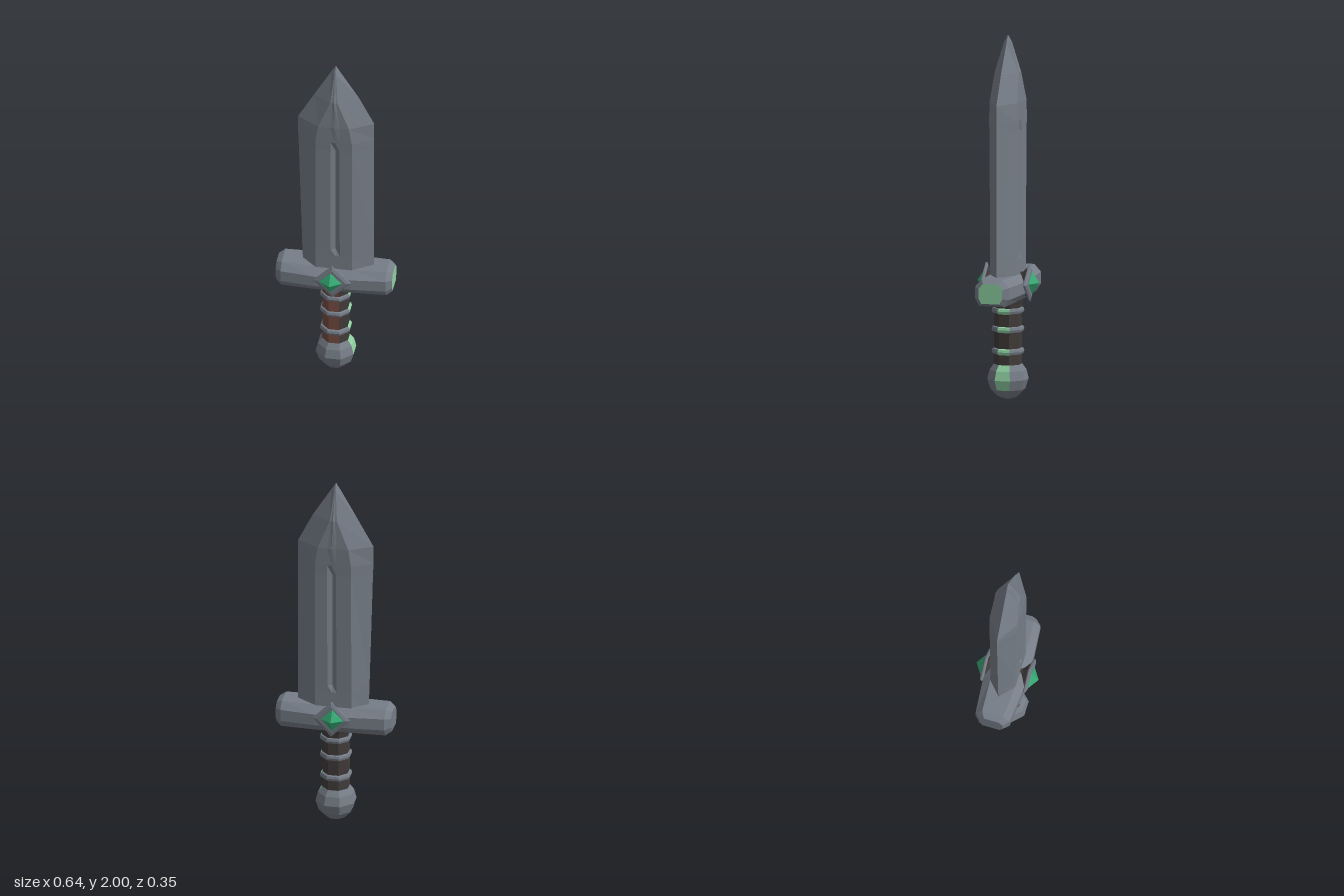
import * as THREE from 'three';

const mat = (name, color) => {
  const m = new THREE.MeshStandardMaterial({ color, flatShading: true });
  m.name = name;
  return m;
};

// Skin a list of equal-length 3D loops; group 1 is the closing face of the last loop.
function loft(loops) {
  const n = loops[0].length, pos = loops.flat(2), sides = [], end = [];
  const last = (loops.length - 1) * n;
  for (let i = 1; i < n - 1; i++) {
    sides.push(0, i + 1, i);
    end.push(last, last + i, last + i + 1);
  }
  for (let r = 0; r < loops.length - 1; r++) {
    for (let i = 0; i < n; i++) {
      const a = r * n + i, b = r * n + (i + 1) % n;
      sides.push(a, b, b + n, a, b + n, a + n);
    }
  }
  const index = [...sides, ...end];
  // Turn the faces outward if the enclosed volume is negative
  const v = i => new THREE.Vector3(...pos.slice(i * 3, i * 3 + 3));
  let volume = 0;
  for (let i = 0; i < index.length; i += 3) {
    volume += v(index[i]).dot(v(index[i + 1]).cross(v(index[i + 2])));
  }
  if (volume < 0) {
    for (let i = 0; i < index.length; i += 3) [index[i], index[i + 1]] = [index[i + 1], index[i]];
  }
  let g = new THREE.BufferGeometry();
  g.setAttribute('position', new THREE.Float32BufferAttribute(pos, 3));
  g.setIndex(index);
  g = g.toNonIndexed();
  g.addGroup(0, sides.length, 0);
  g.addGroup(sides.length, end.length, 1);
  g.computeVertexNormals();
  return g;
}

// Eight-sided turned part; segment 0 faces +x, segment 6 faces +z.
function turned(profile, accentAt) {
  const g = new THREE.LatheGeometry(profile.map(p => new THREE.Vector2(...p)), 8, Math.PI * 3 / 8);
  const rows = profile.length - 1;
  const flat = new THREE.BufferGeometry();
  const old = Array.from(g.index.array), per = old.length / 8;
  flat.setAttribute('position', g.getAttribute('position'));
  flat.setIndex(old);
  const out = flat.toNonIndexed();
  for (let s = 0; s < 8; s++) {
    // the lowest row of a closed profile holds one triangle
    const first = per - (rows - 1) * 6;
    for (let r = 0; r < rows; r++) {
      const start = r === 0 ? 0 : first + (r - 1) * 6;
      out.addGroup(s * per + start, r === 0 ? first : 6, accentAt(s, r) ? 1 : 0);
    }
  }
  out.computeVertexNormals();
  return out;
}

export function createModel() {
  const steel = mat('steel', 0x767d87);
  const dark = mat('darkLeather', 0x403b39);
  const brown = mat('brownLeather', 0x744a40);
  const green = mat('gemGreen', 0x35a873);
  const pale = mat('paleGreen', 0x8fd0a2);

  const model = new THREE.Group();
  const add = (name, geometry, material, parent = model) => {
    const m = new THREE.Mesh(geometry, material);
    m.name = name;
    parent.add(m);
    return m;
  };

  // Blade: height, left edge, right edge, flat half width, half thickness, groove depth
  const blade = [
    [0.66, -0.18, 0.21, 0.1, 0.072, 0],
    [0.78, -0.185, 0.21, 0.1, 0.07, 0],
    [0.82, -0.186, 0.21, 0.1, 0.07, 0.015],
    [1.48, -0.205, 0.21, 0.1, 0.074, 0.015],
    [1.54, -0.208, 0.21, 0.1, 0.076, 0],
    [1.64, -0.208, 0.21, 0.085, 0.078, -0.003],
    [1.8, -0.118, 0.128, 0.02, 0.068, -0.004],
    [1.96, -0.026, 0.026, 0.004, 0.022, 0],
    [2.0, -0.001, 0.001, 0.0005, 0.001, 0],
  ].map(([y, l, r, f, t, d]) => {
    const g = Math.min(0.025, f * 0.5), c = 0.008 * Math.min(1, f * 10);
    return [
      [r, y, 0], [f, y, t], [g + c, y, t], [c, y, t - d], [g * -1 + c, y, t], [-f, y, t],
      [l, y, 0], [-f, y, -t], [-g + c, y, -t], [c, y, -t + d], [g + c, y, -t], [f, y, -t],
    ];
  });
  add('blade', loft(blade), steel);

  // Crossguard with chamfered edges; its left end face is pale green
  const guard = [
    [-0.32, 0.066, 0.055], [-0.288, 0.096, 0.073], [-0.1, 0.113, 0.07],
    [0.1, 0.113, 0.07], [0.288, 0.096, 0.073], [0.32, 0.068, 0.055],
  ].map(([x, w, h]) => [
    [0.62, 1], [1, 0.45], [1, -0.45], [0.75, -1],
    [-0.75, -1], [-1, -0.45], [-1, 0.45], [-0.62, 1],
  ].map(([z, y]) => [x, 0.627 + y * h, z * w]));
  add('crossguard', loft(guard), [steel, pale]);

  // Diamond mount and gem on both faces
  const diamond = (r, z, x = 0) => [[x + r, 0, z], [x, r, z], [x - r, 0, z], [x, -r, z]];
  for (const side of [1, -1]) {
    const mount = new THREE.Group();
    mount.name = side > 0 ? 'frontMount' : 'backMount';
    mount.position.y = 0.645;
    if (side < 0) mount.rotation.y = Math.PI;
    add('mountNeck', loft([diamond(0.06, 0.06), diamond(0.06, 0.085), diamond(0.09, 0.118)]), dark, mount);
    add('mountPlate', loft([diamond(0.09, 0.112), diamond(0.102, 0.118), diamond(0.102, 0.126),
      diamond(0.078, 0.134)]), steel, mount);
    const x = -0.008 * side;
    add('gem', loft([diamond(0.066, 0.125, x), diamond(0.062, 0.135, x), diamond(0.001, 0.175, x)]), green, mount);
    model.add(mount);
  }

  // Grip: brown toward the front and right, dark elsewhere
  add('grip', turned([[0.078, 0.18], [0.074, 0.26], [0.078, 0.38], [0.074, 0.47], [0.08, 0.53], [0.088, 0.57]],
    s => s === 5 || s === 6), [dark, brown]);

  // Grip rings with a pale green left facet
  for (const y of [0.268, 0.39, 0.492]) {
    add('gripRing', turned([[0.07, y - 0.02], [0.085, y - 0.013], [0.089, y], [0.085, y + 0.013], [0.07, y + 0.02]],
      s => s === 0), [steel, pale]);
  }

  // Round pommel with a pale green left facet
  add('pommel', turned([[0.001, 0], [0.055, 0.018], [0.095, 0.06], [0.113, 0.115], [0.1, 0.165], [0.075, 0.2], [0.001, 0.205]],
    (s, r) => s === 0 && r > 1 && r < 5), [steel, pale]);

  return model;
}
